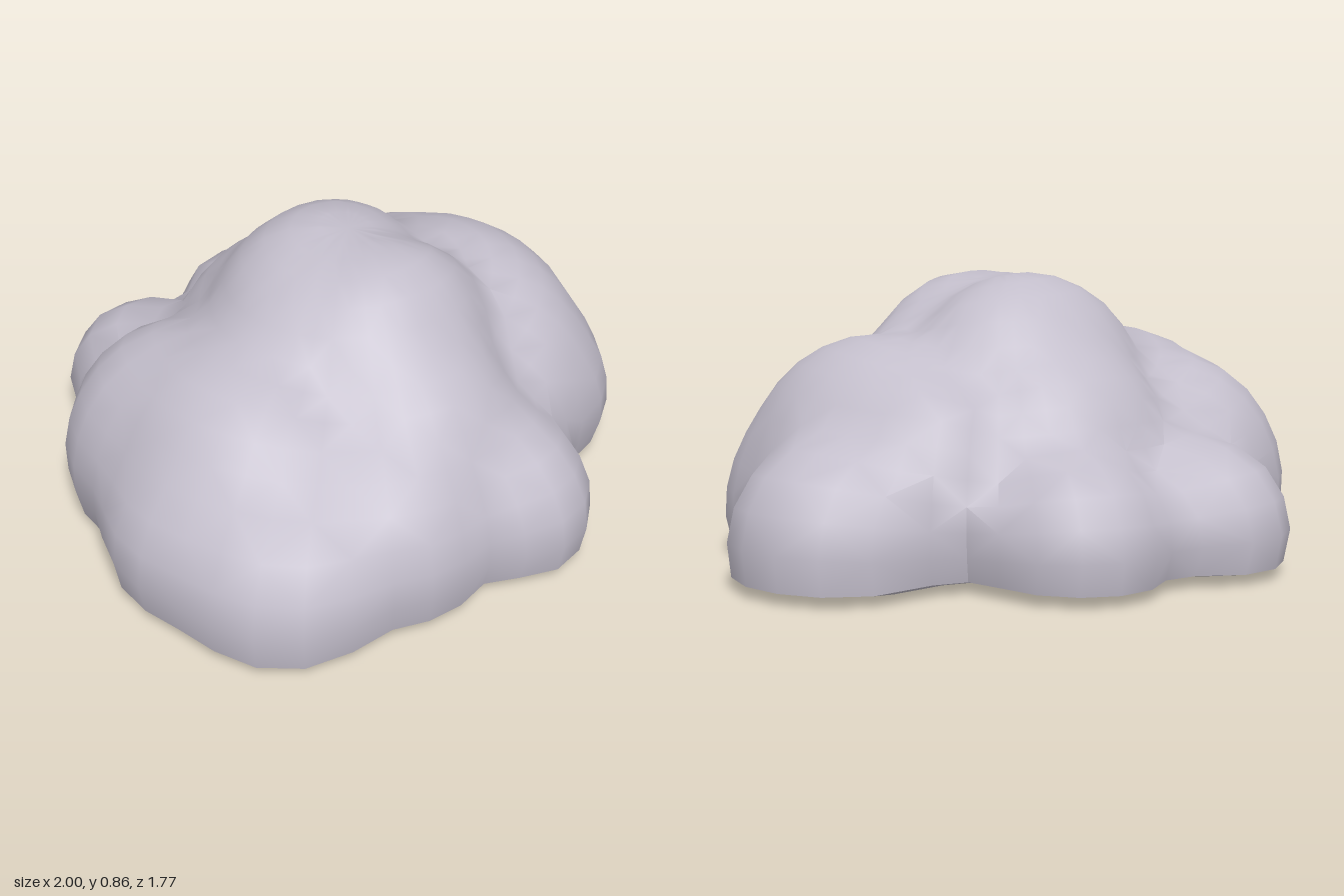
import * as THREE from 'three';
import { mergeVertices, toCreasedNormals } from 'three/addons/utils/BufferGeometryUtils.js';

// Puffs that melt together: centre, then radii
const PUFFS = [
  { c: [-0.03, 0.49, 0.19], r: [0.37, 0.37, 0.28] },   // crown, front
  { c: [-0.1, 0.47, 0.04], r: [0.4, 0.38, 0.35] },     // crown, middle
  { c: [-0.02, 0.49, -0.1], r: [0.4, 0.38, 0.31] },    // crown, back
  { c: [-0.1, 0.3, 0.3], r: [0.38, 0.4, 0.4] },        // front slope
  { c: [0.04, 0.14, 0.55], r: [0.28, 0.32, 0.35] },    // front puff
  { c: [-0.32, 0.16, 0.46], r: [0.36, 0.36, 0.34] },
  { c: [-0.66, 0.14, 0.4], r: [0.32, 0.31, 0.31] },    // front right
  { c: [-0.5, 0.3, 0.05], r: [0.36, 0.37, 0.45] },     // right shoulder
  { c: [-0.66, 0.15, 0.13], r: [0.35, 0.33, 0.4] },    // right flank
  { c: [-0.5, 0.18, -0.25], r: [0.36, 0.42, 0.34] },   // back right
  { c: [-0.28, 0.13, -0.58], r: [0.28, 0.28, 0.32] },  // back pair
  { c: [0.18, 0.13, -0.58], r: [0.285, 0.28, 0.31] },
  { c: [0, 0.25, -0.25], r: [0.42, 0.45, 0.38] },      // back slope
  { c: [0.4, 0.25, 0.08], r: [0.375, 0.45, 0.48] },    // left shoulder
  { c: [0.5, 0.15, 0.25], r: [0.28, 0.33, 0.33] },     // front left
  { c: [0.3, 0.15, 0.3], r: [0.25, 0.35, 0.32] },
  { c: [0.42, 0.2, -0.2], r: [0.26, 0.4, 0.3] },       // back left
  { c: [0.7, 0.12, -0.14], r: [0.315, 0.32, 0.34] },   // small left puff
];
const AROUND = 48, ROWS = 15, RIM = 0.035, HOLE = 0.37, HOLE_Z = -0.08;

// Smooth union of all puffs
function inside(x, y, z) {
  let sum = 0;
  for (const { c, r } of PUFFS) {
    const q = Math.hypot((x - c[0]) / r[0], (y - c[1]) / r[1], (z - c[2]) / r[2]);
    sum += Math.exp(14 * (1 - q));
  }
  return sum > 1.55;
}

// Outermost point of the cloud along a direction from the centre of its base
function surfacePoint(angle, lift) {
  const d = [Math.cos(lift) * Math.sin(angle), Math.sin(lift), Math.cos(lift) * Math.cos(angle)];
  let t = 1.3;
  while (t > 0.1 && !inside(d[0] * t, RIM + d[1] * t, d[2] * t)) t -= 0.003;
  return new THREE.Vector3(d[0] * t, RIM + d[1] * t, d[2] * t);
}

// Skin over a stack of closed rings
function skin(rings) {
  const index = [], n = AROUND;
  for (let j = 0; j < rings.length - 1; j++) {
    for (let i = 0; i < n; i++) {
      const a = j * n + i, b = j * n + (i + 1) % n;
      if ((i + j) % 2) index.push(a, b, b + n, a, b + n, a + n);
      else index.push(a, b, a + n, b, b + n, a + n);
    }
  }
  const g = new THREE.BufferGeometry().setFromPoints(rings.flat());
  g.setIndex(index);
  return g;
}

export function createModel() {
  const group = new THREE.Group();
  group.name = 'cloud';
  const material = new THREE.MeshStandardMaterial({ color: 0xc3becb, side: THREE.DoubleSide });
  material.name = 'lavender grey';

  // Rings from the rim up to the top
  const angles = Array.from({ length: AROUND }, (_, i) => (i / AROUND) * Math.PI * 2);
  const rings = [];
  for (let j = 0; j <= ROWS; j++) {
    rings.push(angles.map((a) => surfacePoint(a, (j / ROWS) * Math.PI / 2)));
  }

  // Billowing upper body
  const body = new THREE.Mesh(toCreasedNormals(mergeVertices(skin(rings), 1e-4), 0.8), material);
  body.name = 'cloudBody';

  // Nearly flat underside with a shallow bevel and an open middle
  const hole = angles.map((a) => new THREE.Vector3(Math.sin(a) * HOLE, 0, HOLE_Z + Math.cos(a) * HOLE));
  const bevel = rings[0].map((p) => new THREE.Vector3(p.x * 0.86, 0.014, p.z * 0.86));
  const under = skin([hole, bevel, rings[0]]);
  under.computeVertexNormals();
  const underside = new THREE.Mesh(under, material);
  underside.name = 'underside';

  group.add(body, underside);
  return group;
}
